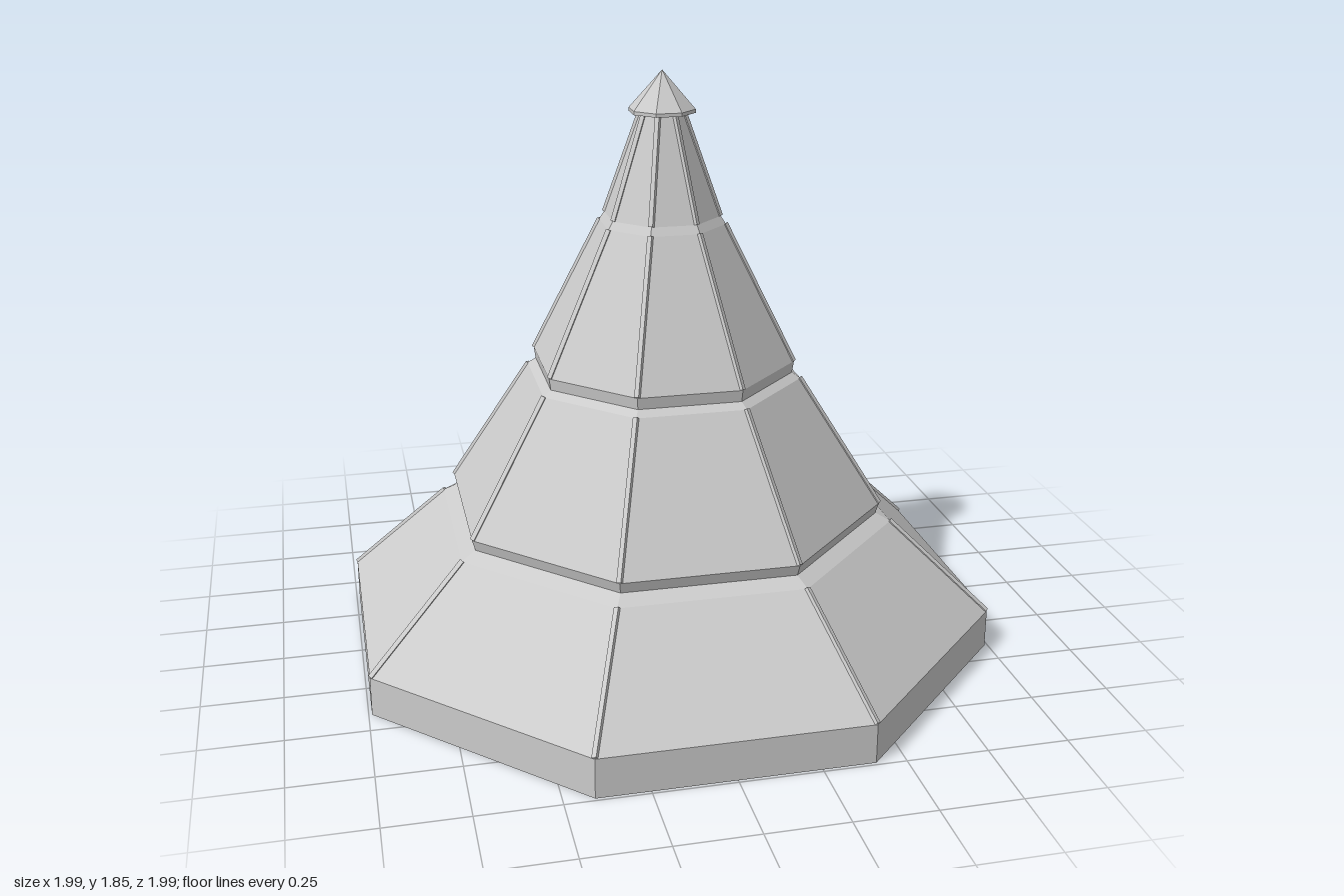
import * as THREE from 'three';

const SIDES = 8;
const CORNER = 1 / Math.cos(Math.PI / SIDES); // apothem -> corner radius

const material = new THREE.MeshStandardMaterial({ color: 0xcccccc, flatShading: true });

// Eight-sided lathe with flat faces to the front, back and sides; profile is [apothem, y]
function octagonLathe(name, profile) {
  const points = profile.map(([a, y]) => new THREE.Vector2(a * CORNER, y));
  const geometry = new THREE.LatheGeometry(points, SIDES, Math.PI / SIDES).toNonIndexed();
  geometry.computeVertexNormals();
  const mesh = new THREE.Mesh(geometry, material);
  mesh.name = name;
  return mesh;
}

// Thin four-sided bar between two points
function bar(name, from, to, radius) {
  const dir = to.clone().sub(from);
  const mesh = new THREE.Mesh(new THREE.CylinderGeometry(radius, radius, dir.length(), 4), material);
  mesh.name = name;
  mesh.position.copy(from).add(to).multiplyScalar(0.5);
  mesh.quaternion.setFromUnitVectors(new THREE.Vector3(0, 1, 0), dir.normalize());
  return mesh;
}

export function createModel() {
  const group = new THREE.Group();
  group.name = 'tieredRoof';

  // Sloping runs of each tier: [bottom apothem, y, top apothem, y]
  const slopes = [
    [0.99, 0.125, 0.69, 0.42],
    [0.655, 0.48, 0.41, 0.89],
    [0.39, 0.945, 0.185, 1.38],
    [0.17, 1.405, 0.06, 1.735],
  ];

  // Hollow shell: down the inside, across the rim and up the stepped outside
  group.add(octagonLathe('roofShell', [
    [0, 1.16], [0.81, 0.2], [0.81, 0], [0.99, 0],
    [0.99, 0.125], [0.69, 0.42], [0.645, 0.445],
    [0.655, 0.48], [0.41, 0.89], [0.385, 0.908],
    [0.39, 0.945], [0.185, 1.38],
    [0.17, 1.405], [0.06, 1.735], [0, 1.735],
  ]));

  // Pointed cap
  group.add(octagonLathe('cap', [[0, 1.722], [0.096, 1.722], [0.096, 1.733], [0, 1.85]]));

  // Slim ridge ribs along every corner of every tier
  const ribs = new THREE.Group();
  ribs.name = 'ridgeRibs';
  for (let i = 0; i < SIDES; i++) {
    const angle = (i + 0.5) * 2 * Math.PI / SIDES;
    const at = (a, y) => new THREE.Vector3(
      Math.sin(angle) * (a * CORNER - 0.004), y, Math.cos(angle) * (a * CORNER - 0.004));
    for (const [a0, y0, a1, y1] of slopes) ribs.add(bar('ridgeRib', at(a0, y0), at(a1, y1), 0.011));
  }
  group.add(ribs);

  return group;
}
